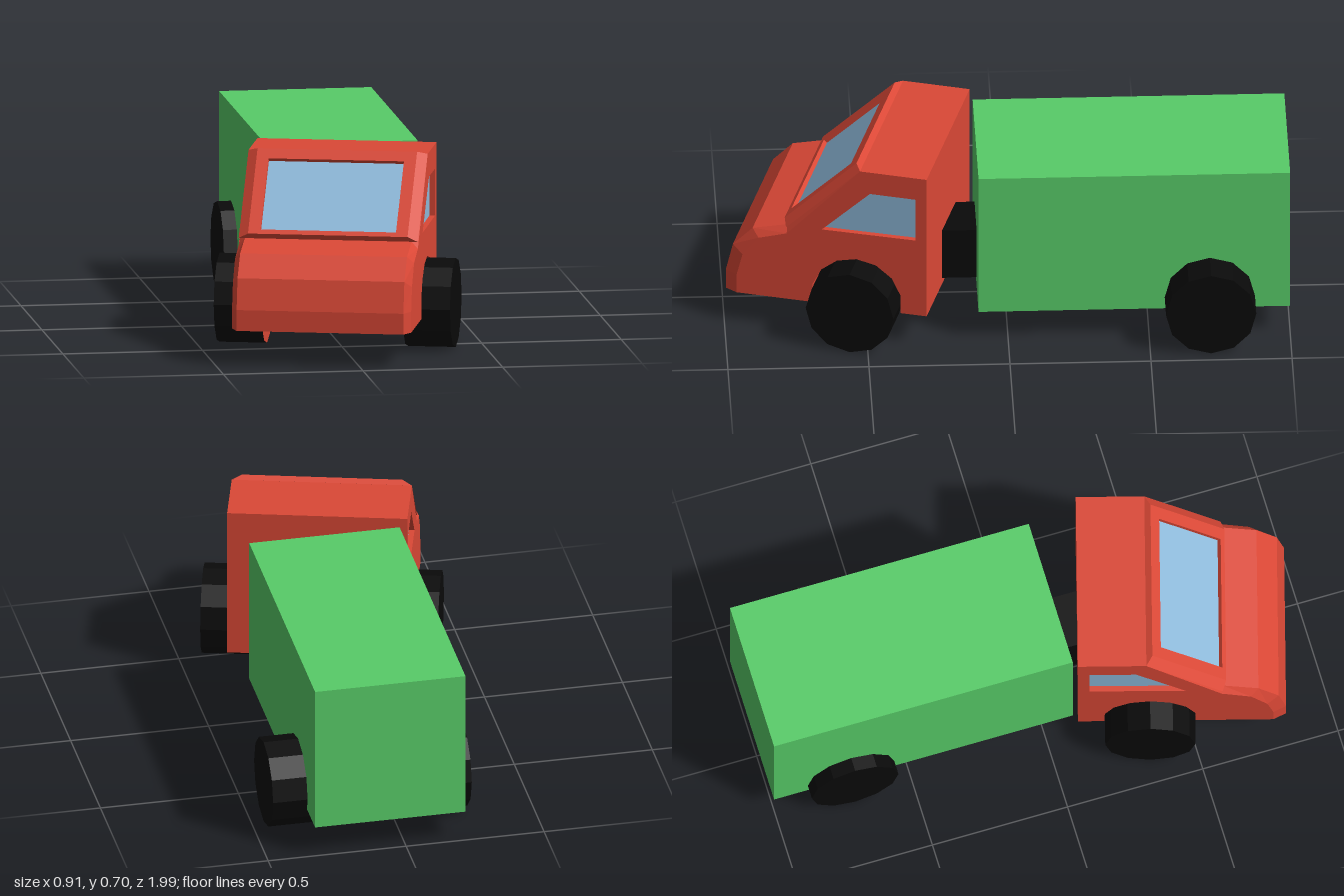
import * as THREE from 'three';

const mat = (color) => new THREE.MeshStandardMaterial({ color, flatShading: true });

export function createModel() {
  const red = mat(0xdb4836), green = mat(0x58cc68), black = mat(0x0a0a0a), glass = mat(0x8fbbdc);
  const model = new THREE.Group();
  model.name = 'toyTruck';

  const add = (parent, name, geometry, material, x = 0, y = 0, z = 0) => {
    const mesh = new THREE.Mesh(geometry, material);
    mesh.name = name;
    mesh.position.set(x, y, z);
    parent.add(mesh);
    return mesh;
  };
  const points = (list) => list.map(([a, b]) => new THREE.Vector2(a, b));
  const extrude = (shape, depth) => new THREE.ExtrudeGeometry(shape, { depth, bevelEnabled: false });

  // Twelve-sided wheel; the inner face takes the body colour
  const addWheel = (parent, name, side, x, z) => {
    const wheel = add(parent, name, new THREE.CylinderGeometry(0.16, 0.16, 0.17, 12), [black, black, red], x, 0.16, z);
    wheel.rotation.z = -side * Math.PI / 2;
  };

  // Cargo box with its wheels and the coupling to the cab
  add(model, 'cargoBox', new THREE.BoxGeometry(0.545, 0.55, 1.105), green, 0.0575, 0.39, -0.4475);
  add(model, 'coupling', new THREE.BoxGeometry(0.195, 0.195, 0.2), black, 0.053, 0.248, 0.15);
  addWheel(model, 'rearWheelRight', -1, -0.18, -0.715);
  addWheel(model, 'rearWheelLeft', 1, 0.37, -0.715);

  // Cab, turned to one side; its own origin is the middle of its back
  const cab = new THREE.Group();
  cab.name = 'cab';
  cab.position.set(0.0625, 0, 0.2025);
  cab.rotation.y = -THREE.MathUtils.degToRad(16);
  model.add(cab);

  // Side profile as (z, y), with the wheel arch cut into the bottom
  const axleZ = 0.256, archRadius = 0.165, archStart = -0.214;
  const profile = [[0, 0.125], [0, 0.69], [0.243, 0.69], [0.513, 0.42], [0.64, 0.387],
    [0.712, 0.31], [0.738, 0.2], [0.738, 0.125]];
  for (let i = 0; i <= 8; i++) {
    const a = archStart + (Math.PI - 2 * archStart) * i / 8;
    profile.push([axleZ + archRadius * Math.cos(a), 0.16 + archRadius * Math.sin(a)]);
  }
  const halfCore = 0.298, panelDepth = 0.022;
  const core = add(cab, 'cabBody', extrude(new THREE.Shape(points(profile)), halfCore * 2), red, halfCore);
  core.rotation.y = -Math.PI / 2;

  const windowOutline = [[0.041, 0.433], [0.384, 0.43], [0.207, 0.602], [0.041, 0.602]];
  for (const side of [-1, 1]) {
    const label = side > 0 ? 'Left' : 'Right';

    // Side panel with window opening; the outer face is pulled in around the hood
    const panelShape = new THREE.Shape(points(profile));
    panelShape.holes.push(new THREE.Path(points(windowOutline)));
    const panel = extrude(panelShape, panelDepth);
    const p = panel.attributes.position;
    for (let i = 0; i < p.count; i++) {
      const outer = side > 0 ? p.getZ(i) < 0.001 : p.getZ(i) > 0.001;
      if (!outer || p.getX(i) < 0.5) continue;
      p.setX(i, 0.5 + (p.getX(i) - 0.5) * 0.81);
      if (p.getY(i) > 0.3) p.setY(i, p.getY(i) - 0.025);
    }
    panel.computeVertexNormals();
    add(cab, 'sidePanel' + label, panel, red, side > 0 ? halfCore + panelDepth : -halfCore).rotation.y = -Math.PI / 2;

    // Recessed side glass
    const pane = extrude(new THREE.Shape(points(windowOutline)), 0.003);
    add(cab, 'sideWindow' + label, pane, glass, side > 0 ? halfCore + 0.002 : -halfCore + 0.001).rotation.y = -Math.PI / 2;

    addWheel(cab, 'frontWheel' + label, side, side * 0.337, axleZ);
  }

  // Raised windscreen frame with bevelled outer edge, leaning back 45 degrees
  const slope = 0.382, thickness = 0.0226;
  const rect = (w, low, high) => points([[-w, low], [w, low], [w, high], [-w, high]]);
  const frameShape = new THREE.Shape(rect(0.32, 0, slope));
  frameShape.holes.push(new THREE.Path(rect(0.242, 0.023, 0.331)));
  const frame = extrude(frameShape, thickness);
  const f = frame.attributes.position;
  for (let i = 0; i < f.count; i++) {
    if (f.getZ(i) < 0.001 || Math.abs(f.getX(i)) < 0.3) continue;
    f.setX(i, Math.sign(f.getX(i)) * 0.285);
    f.setY(i, f.getY(i) > 0.2 ? slope - 0.008 : 0.004);
  }
  frame.computeVertexNormals();
  add(cab, 'windscreenFrame', frame, red, 0, 0.42, 0.513).rotation.x = -Math.PI / 4;
  const screen = new THREE.BoxGeometry(0.484, 0.308, 0.008);
  add(cab, 'windscreen', screen, glass, 0, 0.42 + 0.177 * Math.SQRT1_2 + 0.002, 0.513 - 0.177 * Math.SQRT1_2 + 0.002)
    .rotation.x = -Math.PI / 4;

  return model;
}
